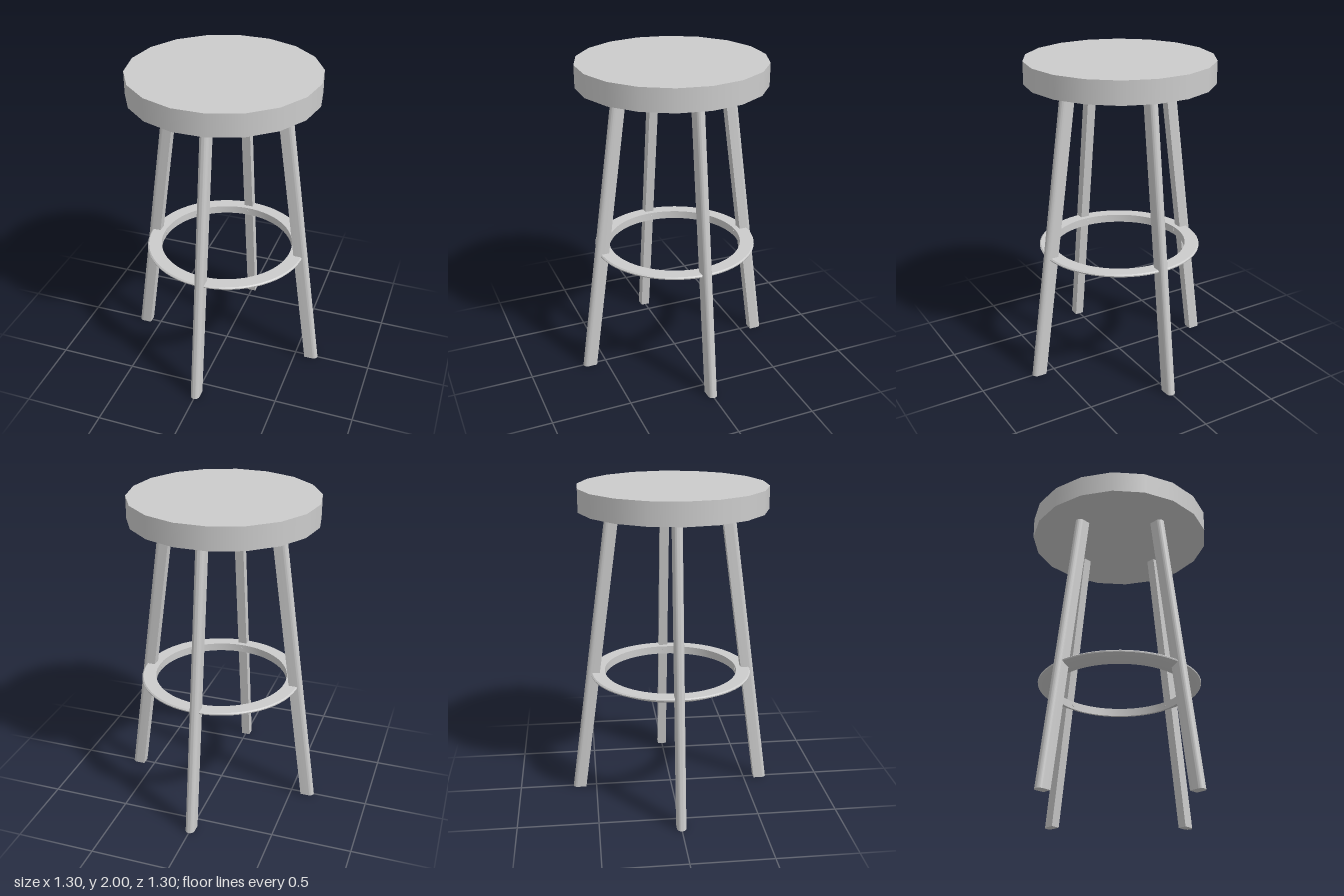
import * as THREE from 'three';
import { toCreasedNormals } from 'three/addons/utils/BufferGeometryUtils.js';

const SEAT_BOTTOM = 1.86;
const FOOT_R = 0.611, TOP_R = 0.355; // leg centre distance at floor and at seat

// D-shaped leg: flat inside, rounded outside, sheared so both ends stay level
function legGeometry() {
  const w = 0.029, inner = -0.0425, arcX = 0.0125;
  const s = new THREE.Shape();
  s.moveTo(inner, -w);
  s.lineTo(arcX, -w);
  s.absarc(arcX, 0, w, -Math.PI / 2, Math.PI / 2, false);
  s.lineTo(inner, w);
  s.closePath();
  const g = new THREE.ExtrudeGeometry(s, { depth: SEAT_BOTTOM, bevelEnabled: false, curveSegments: 12 });
  g.rotateX(-Math.PI / 2);
  const p = g.attributes.position;
  for (let i = 0; i < p.count; i++) {
    const t = p.getY(i) / SEAT_BOTTOM;
    p.setX(i, p.getX(i) + FOOT_R + (TOP_R - FOOT_R) * t);
  }
  return toCreasedNormals(g, 0.5);
}

export function createModel() {
  const model = new THREE.Group();
  model.name = 'stool';
  const mat = new THREE.MeshStandardMaterial({ color: 0xcccccc });
  const add = (name, geo, parent = model) => {
    const m = new THREE.Mesh(geo, mat);
    m.name = name;
    parent.add(m);
    return m;
  };

  // Eighteen-sided seat, set slightly off the leg axis
  const seat = add('seat', new THREE.CylinderGeometry(0.583, 0.583, 2 - SEAT_BOTTOM, 18, 1, false, Math.PI / 2));
  seat.position.set(-0.0125, (2 + SEAT_BOTTOM) / 2, 0.0125);

  // Foot ring: flat top, upright inside, sloping underside
  const profile = [
    [0.424, 0.76], [0.44, 0.76], [0.512, 0.797], [0.514, 0.805], [0.506, 0.812], [0.424, 0.812], [0.424, 0.76],
  ].map(([x, y]) => new THREE.Vector2(x, y));
  add('footRing', toCreasedNormals(new THREE.LatheGeometry(profile, 64), 0.5));

  // Four splayed legs, each with a small bolt on the inside of the ring
  const legGeo = legGeometry();
  const boltGeo = new THREE.CylinderGeometry(0.01, 0.01, 0.02, 12).rotateZ(Math.PI / 2);
  for (let i = 0; i < 4; i++) {
    const unit = new THREE.Group();
    unit.name = 'legUnit' + (i + 1);
    unit.rotation.y = i * Math.PI / 2;
    add('leg', legGeo, unit);
    add('ringBolt', boltGeo, unit).position.set(0.431, 0.787, 0);
    model.add(unit);
  }
  return model;
}
